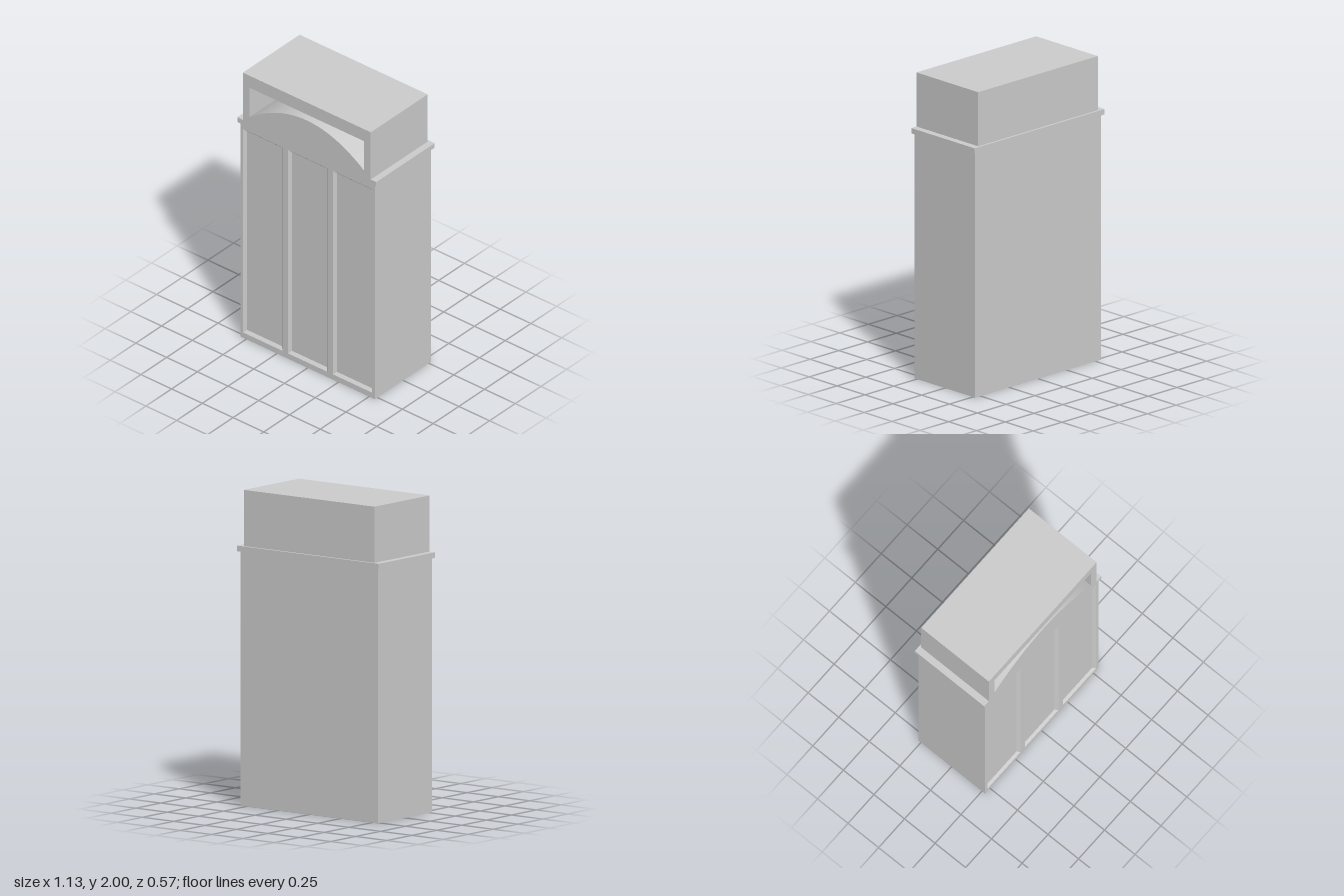
import * as THREE from 'three';
import { toCreasedNormals } from 'three/addons/utils/BufferGeometryUtils.js';

const material = new THREE.MeshStandardMaterial({ color: 0xcccccc });

function add(parent, name, geometry) {
  const mesh = new THREE.Mesh(geometry, material);
  mesh.name = name;
  parent.add(mesh);
  return mesh;
}

// Box given by its limits on each axis
function box(x0, x1, y0, y1, z0, z1) {
  return new THREE.BoxGeometry(x1 - x0, y1 - y0, z1 - z0)
    .translate((x0 + x1) / 2, (y0 + y1) / 2, (z0 + z1) / 2);
}

const corners = (x0, x1, y0, y1) => [[x0, y0], [x1, y0], [x1, y1], [x0, y1]];

function rect(PathType, ...limits) {
  return new PathType(corners(...limits).map(([x, y]) => new THREE.Vector2(x, y)));
}

// Four sloped strips leading from a panel opening down to its floor
function bevel([x0, x1, y0, y1], inset, zFront, zBack) {
  const outer = corners(x0, x1, y0, y1);
  const inner = corners(x0 + inset, x1 - inset, y0 + inset, y1 - inset);
  const positions = [];
  for (let i = 0; i < 4; i++) {
    const j = (i + 1) % 4;
    const a = [...outer[i], zFront], b = [...outer[j], zFront];
    const c = [...inner[j], zBack], d = [...inner[i], zBack];
    positions.push(...a, ...b, ...c, ...a, ...c, ...d);
  }
  const geometry = new THREE.BufferGeometry();
  geometry.setAttribute('position', new THREE.Float32BufferAttribute(positions, 3));
  geometry.computeVertexNormals();
  return geometry;
}

export function createModel() {
  const group = new THREE.Group();

  // Tall body with three recessed front panels
  const floorZ = 0.257, frontZ = 0.275;
  add(group, 'body', box(-0.547, 0.547, 0, 1.61, -0.27, floorZ));
  const frame = rect(THREE.Shape, -0.547, 0.547, 0, 1.61);
  const panels = [[-0.525, -0.205], [-0.16, 0.16], [0.205, 0.525]]
    .map(([x0, x1]) => [x0, x1, 0.04, 1.57]);
  for (const panel of panels) {
    frame.holes.push(rect(THREE.Path, ...panel));
    add(group, 'panelBevel', bevel(panel, 0.018, frontZ, floorZ));
  }
  add(group, 'panelFrame', new THREE.ExtrudeGeometry(frame, {
    depth: frontZ - floorZ, bevelEnabled: false,
  }).translate(0, 0, floorZ));

  // Projecting ledge
  add(group, 'ledge', box(-0.565, 0.565, 1.61, 1.645, -0.285, 0.283));

  // Hood with a deep opening over an arched floor
  const hood = rect(THREE.Shape, -0.52, 0.52, 1.645, 2);
  const opening = new THREE.Path();
  opening.moveTo(-0.465, 1.69);
  opening.quadraticCurveTo(0, 2.04, 0.465, 1.69);
  opening.lineTo(0.465, 1.91);
  opening.lineTo(-0.465, 1.91);
  opening.closePath();
  hood.holes.push(opening);
  const backZ = -0.217;
  add(group, 'hood', toCreasedNormals(new THREE.ExtrudeGeometry(hood, {
    depth: 0.283 - backZ, bevelEnabled: false, curveSegments: 32,
  }).translate(0, 0, backZ), 0.5));
  add(group, 'hoodBack', box(-0.52, 0.52, 1.645, 2, -0.27, backZ));

  return group;
}
